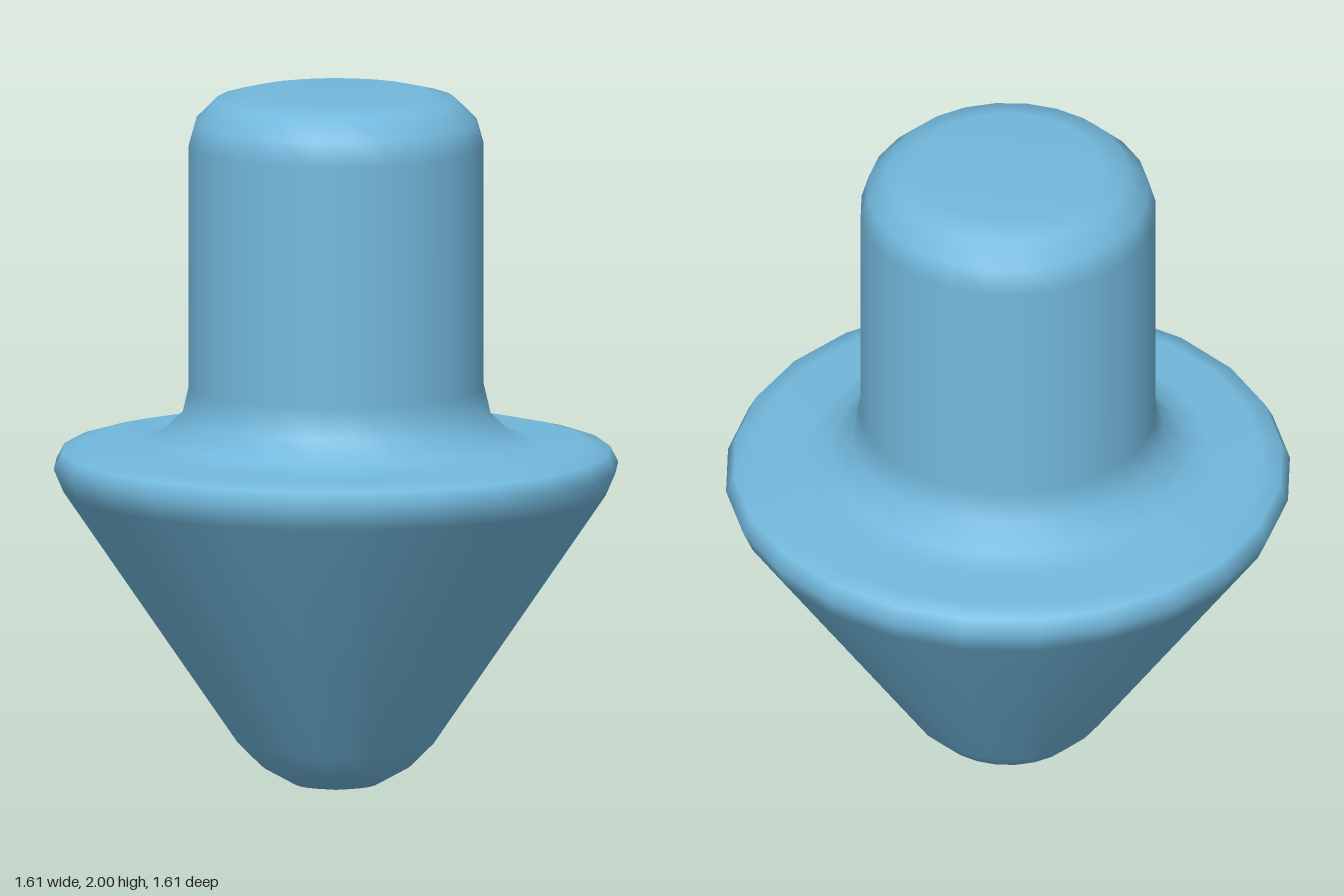
import * as THREE from 'three';

const SIDES = 24;

export function createModel() {
  const group = new THREE.Group();
  group.name = 'conePlug';
  const material = new THREE.MeshStandardMaterial({ color: 0x72b8dc });

  // Turns a list of [radius, height] pairs, bottom to top, into a solid
  const profile = (pairs) => pairs.map(([r, y]) => new THREE.Vector2(r, y));

  const outline = profile([
    // rounded tip
    [0, 0], [0.12, 0.02], [0.21, 0.07], [0.28, 0.14],
    // cone flank and rounded rim
    [0.775, 0.865], [0.803, 0.93], [0.78, 0.975], [0.72, 0.99],
    // shoulder and fillet into the shaft
    [0.58, 0.99], [0.505, 1.012], [0.44, 1.075], [0.42, 1.16],
    // shaft and rounded end
    [0.42, 1.85], [0.4, 1.92], [0.34, 1.98], [0.26, 2], [0, 2],
  ]);

  const body = new THREE.Mesh(new THREE.LatheGeometry(outline, SIDES), material);
  body.name = 'coneAndShaft';
  group.add(body);
  return group;
}
